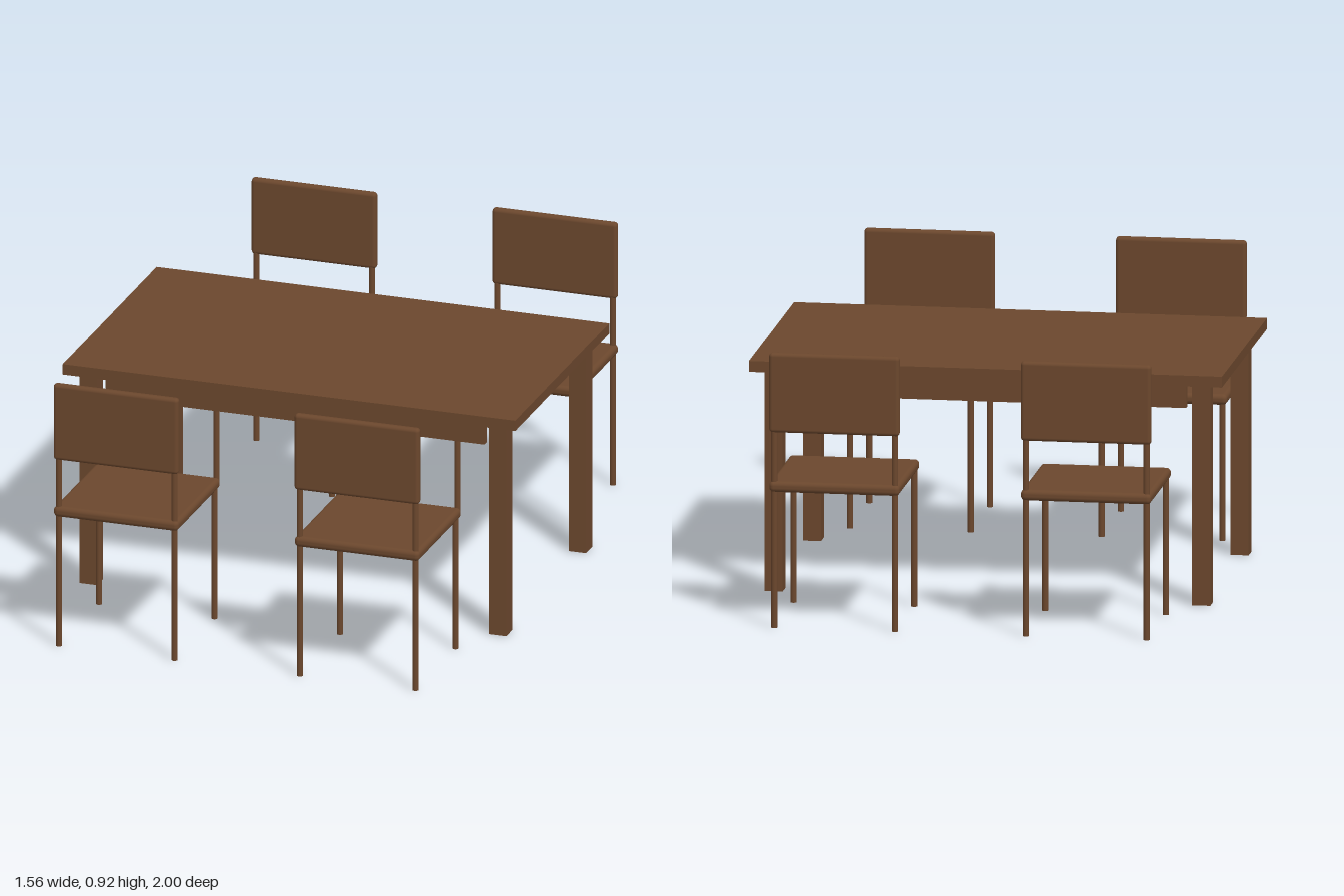
import * as THREE from 'three';
import { RoundedBoxGeometry } from 'three/addons/geometries/RoundedBoxGeometry.js';

const wood = new THREE.MeshStandardMaterial({ color: 0x6b472d });
wood.name = 'brown wood';

function add(parent, name, geometry, x, y, z) {
  const mesh = new THREE.Mesh(geometry, wood);
  mesh.name = name;
  mesh.position.set(x, y, z);
  parent.add(mesh);
}

function createTable() {
  const table = new THREE.Group();
  table.name = 'table';
  add(table, 'tableTop', new THREE.BoxGeometry(1.56, 0.036, 0.935), 0, 0.754, 0);
  for (const z of [-0.397, 0.397]) {
    // aprons run along the long sides only
    add(table, 'apron', new THREE.BoxGeometry(1.306, 0.085, 0.025), 0, 0.694, z);
    for (const x of [-0.705, 0.705]) {
      add(table, 'tableLeg', new THREE.BoxGeometry(0.06, 0.736, 0.06), x, 0.368, z);
    }
  }
  return table;
}

// Chair with its backrest towards +z, centred on its seat
function createChair() {
  const chair = new THREE.Group();
  chair.name = 'chair';
  add(chair, 'seat', new RoundedBoxGeometry(0.43, 0.036, 0.432, 4, 0.015), 0, 0.47, 0);
  add(chair, 'backrest', new RoundedBoxGeometry(0.43, 0.264, 0.028, 4, 0.012), 0, 0.783, 0.202);
  for (const x of [-0.199, 0.199]) {
    add(chair, 'frontLeg', new THREE.CylinderGeometry(0.01, 0.01, 0.46, 16), x, 0.23, -0.199);
    // rear legs carry on up to hold the backrest
    add(chair, 'rearLeg', new THREE.CylinderGeometry(0.01, 0.01, 0.67, 16), x, 0.335, 0.199);
  }
  return chair;
}

export function createModel() {
  const model = new THREE.Group();
  model.name = 'diningSet';
  model.add(createTable());
  for (const side of [-1, 1]) {
    for (const x of [-0.415, 0.415]) {
      const chair = createChair();
      chair.position.set(x, 0, side * 0.783);
      chair.rotation.y = side > 0 ? 0 : Math.PI;
      model.add(chair);
    }
  }
  return model;
}
